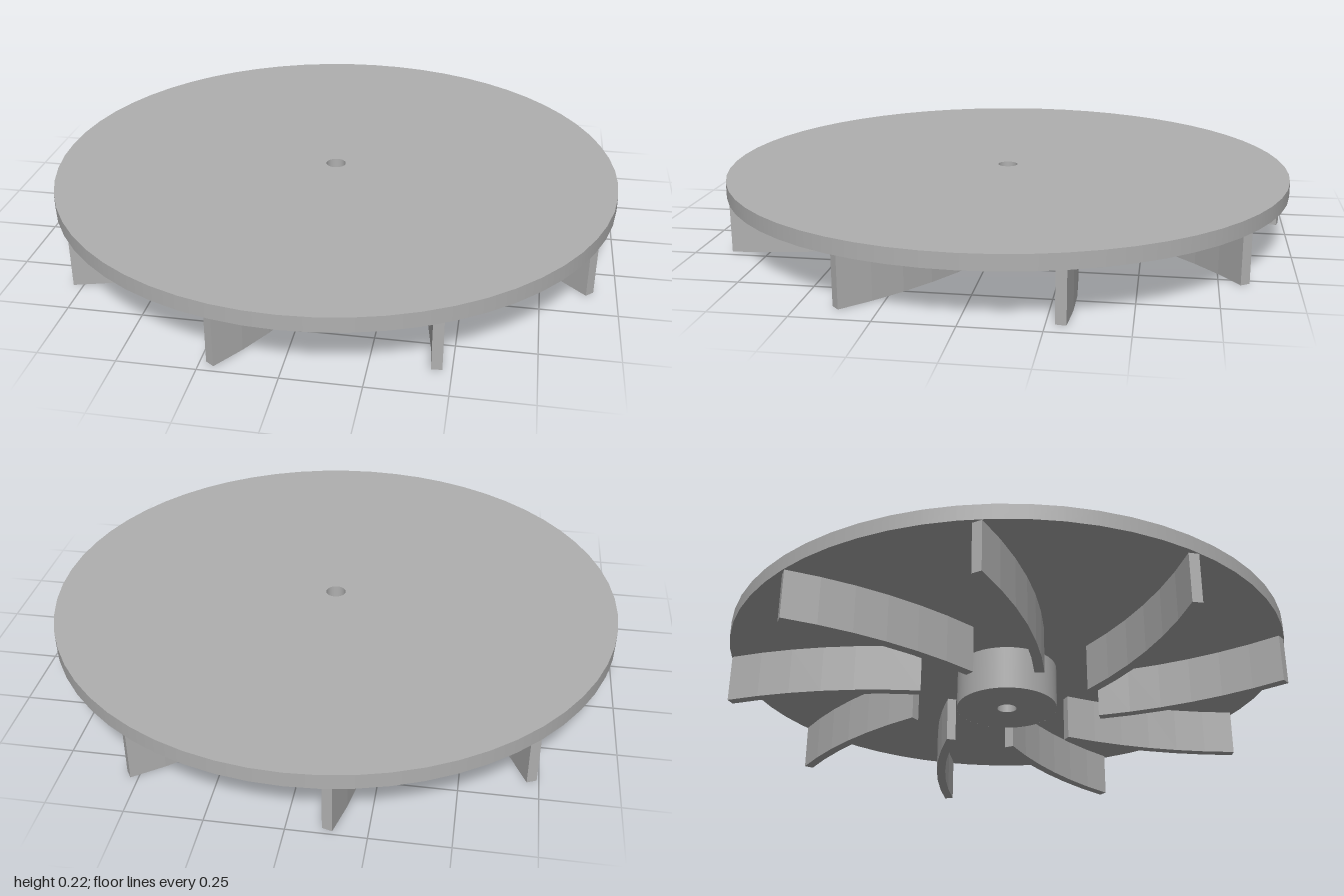
import * as THREE from 'three';
import { mergeGeometries } from 'three/addons/utils/BufferGeometryUtils.js';

const BORE = 0.035, HUB_R = 0.182, HUB_Y = 0.012, DISC_Y = 0.17, TOP_Y = 0.222;
const HOLE_R = 0.03, HOLE_Y = 0.08, PATCH = 0.25; // set-screw hole and half angle of its wall patch
const BLADES = 9, THICK = 0.034;

// open cylindrical wall between two heights
function wall(r, y0, y1, sides, start = 0, length = Math.PI * 2) {
  return new THREE.CylinderGeometry(r, r, y1 - y0, sides, 1, true, start, length)
    .translate(0, (y0 + y1) / 2, 0);
}

// flat annulus facing up or down
function annulus(r0, r1, y, up, sides) {
  return new THREE.RingGeometry(r0, r1, sides).rotateX(up ? -Math.PI / 2 : Math.PI / 2).translate(0, y, 0);
}

// back wall of the hub: a flat panel with a round hole, bent round the hub
function hubPatch() {
  const w = PATCH * HUB_R, n = 8, pts = [];
  for (let i = 0; i <= n; i++) pts.push(new THREE.Vector2(-w + 2 * w * i / n, HUB_Y));
  for (let i = n; i >= 0; i--) pts.push(new THREE.Vector2(-w + 2 * w * i / n, DISC_Y));
  const shape = new THREE.Shape(pts);
  shape.holes.push(new THREE.Path().absarc(0, HOLE_Y, HOLE_R, 0, Math.PI * 2, true));
  const g = new THREE.ShapeGeometry(shape, 24);
  const p = g.attributes.position, nrm = g.attributes.normal;
  for (let i = 0; i < p.count; i++) {
    const a = p.getX(i) / HUB_R, s = -Math.sin(a), c = -Math.cos(a);
    p.setXYZ(i, HUB_R * s, p.getY(i), HUB_R * c);
    nrm.setXYZ(i, s, 0, c);
  }
  return g;
}

// curved blade: an arc of constant thickness, inner end to tip, extruded upward
function bladeGeometry() {
  const inner = new THREE.Vector2(0.316, 0.138), tip = new THREE.Vector2(0.99, 0);
  const chord = tip.clone().sub(inner);
  const side = new THREE.Vector2(-chord.y, chord.x).normalize();
  const sag = 0.037, n = 6, left = [], right = [];
  for (let i = 0; i <= n; i++) {
    const t = i / n;
    const c = inner.clone().addScaledVector(chord, t).addScaledVector(side, 4 * sag * t * (1 - t));
    const d = chord.clone().addScaledVector(side, 4 * sag * (1 - 2 * t)).normalize();
    const normal = new THREE.Vector2(-d.y, d.x);
    left.push(c.clone().addScaledVector(normal, THICK / 2));
    right.push(c.clone().addScaledVector(normal, -THICK / 2));
  }
  const shape = new THREE.Shape([...right, ...left.reverse()]);
  return new THREE.ExtrudeGeometry(shape, { depth: DISC_Y, bevelEnabled: false }).rotateX(-Math.PI / 2);
}

export function createModel() {
  const group = new THREE.Group();
  const grey = new THREE.MeshStandardMaterial({ color: 0xb0b0b0, side: THREE.DoubleSide });
  grey.name = 'grey';
  const add = (name, geometry) => {
    const mesh = new THREE.Mesh(geometry, grey);
    mesh.name = name;
    group.add(mesh);
    return mesh;
  };

  // back plate with centre bore
  add('disc', mergeGeometries([
    wall(1, DISC_Y, TOP_Y, 60),
    annulus(BORE, 1, TOP_Y, true, 60),
    annulus(BORE, 1, DISC_Y, false, 60),
  ]));

  // hub under the plate
  add('hub', mergeGeometries([
    wall(HUB_R, HUB_Y, DISC_Y, 40, Math.PI + PATCH, Math.PI * 2 - 2 * PATCH),
    annulus(BORE, HUB_R, HUB_Y, false, 40),
  ]));
  add('hubBackWall', hubPatch());
  add('bore', wall(BORE, HUB_Y, TOP_Y, 24));

  // radial set-screw hole
  const depth = HUB_R - BORE - 0.002;
  add('setScrewHole', new THREE.CylinderGeometry(HOLE_R, HOLE_R, depth, 24, 1, true)
    .rotateX(Math.PI / 2).translate(0, HOLE_Y, -BORE - depth / 2));

  // ring of curved blades
  const blade = bladeGeometry();
  for (let i = 0; i < BLADES; i++) {
    add('blade' + (i + 1), blade).rotation.y = THREE.MathUtils.degToRad(17.3 + i * 360 / BLADES);
  }
  return group;
}
